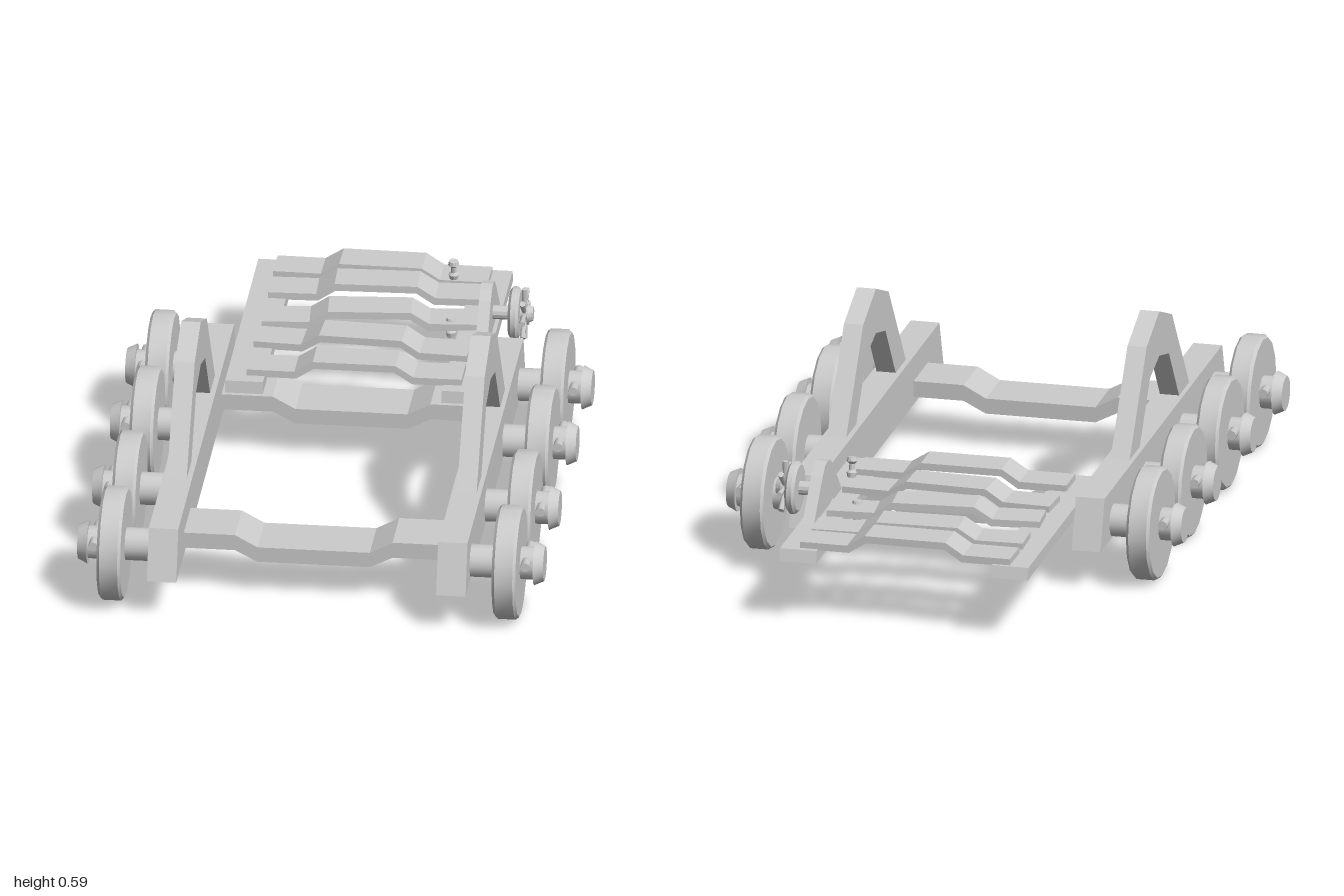
import * as THREE from 'three';
import { toCreasedNormals } from 'three/addons/utils/BufferGeometryUtils.js';

const mat = new THREE.MeshStandardMaterial({ color: 0xcccccc });

function add(parent, name, geo, x = 0, y = 0, z = 0) {
  const m = new THREE.Mesh(geo, mat);
  m.name = name;
  m.position.set(x, y, z);
  parent.add(m);
  return m;
}

// Outline in (x, y), extruded along z and centred on z = 0
function slabZ(pts, depth) {
  const s = new THREE.Shape(pts.map(([x, y]) => new THREE.Vector2(x, y)));
  return new THREE.ExtrudeGeometry(s, { depth, bevelEnabled: false }).translate(0, 0, -depth / 2);
}

// Outline in (z, y), extruded along x and centred on x = 0
function slabX(pts, width) {
  return slabZ(pts.map(([z, y]) => [-z, y]), width).rotateY(Math.PI / 2);
}

// Turned part; profile is [radius, height along axis]
function turned(profile, sides = 16) {
  const g = new THREE.LatheGeometry(profile.map(([r, h]) => new THREE.Vector2(r, h)), sides);
  return toCreasedNormals(g, 0.5);
}
const turnedX = (profile, sides) => turned(profile, sides).rotateZ(-Math.PI / 2);

// Wheel with its axle, end cap and linchpin, pointing to +x
function wheelUnit() {
  const g = new THREE.Group();
  g.name = 'wheelAssembly';
  add(g, 'wheel', turnedX([[0, 0.53], [0.155, 0.53], [0.163, 0.538], [0.163, 0.59], [0.155, 0.598], [0, 0.598]]));
  add(g, 'axle', turnedX([[0, 0.43], [0.047, 0.43], [0.047, 0.637], [0.063, 0.637], [0.05, 0.665], [0, 0.665]]));
  add(g, 'linchpin', new THREE.CylinderGeometry(0.014, 0.014, 0.155, 8).rotateX(Math.PI / 2), 0.617, 0.02, 0);
  return g;
}

export function createModel() {
  const model = new THREE.Group();
  model.name = 'cartChassis';

  const beam = slabX([[0.98, 0.12], [0.93, 0.264], [-0.46, 0.264], [-0.51, 0.12]], 0.084);
  const arch = slabX([
    [0.61, 0.24], [0.39, 0.535], [0.24, 0.593], [0.09, 0.535], [-0.13, 0.24],
    [-0.01, 0.24], [0.13, 0.43], [0.24, 0.46], [0.353, 0.43], [0.49, 0.24],
  ], 0.056);
  const rail = slabX([[-0.16, 0.19], [-0.165, 0.225], [-0.99, 0.225], [-1, 0.19]], 0.108);

  // Both sides: beam, arch, platform rail and four wheels
  for (const side of [1, -1]) {
    const name = side > 0 ? 'left' : 'right';
    add(model, name + 'Beam', beam, side * 0.413);
    add(model, name + 'Arch', arch, side * 0.414);
    add(model, name + 'PlatformRail', rail, side * 0.309);
    for (const z of [0.835, 0.46, 0.022, -0.357]) {
      const w = wheelUnit();
      w.position.set(0, 0.168, z);
      if (side < 0) w.rotation.y = Math.PI;
      model.add(w);
    }
  }

  // Dropped cross members
  const cross = slabZ([
    [-0.38, 0.143], [-0.225, 0.143], [-0.16, 0.11], [0.16, 0.11], [0.225, 0.143], [0.38, 0.143],
    [0.38, 0.19], [0.225, 0.19], [0.16, 0.155], [-0.16, 0.155], [-0.225, 0.19], [-0.38, 0.19],
  ], 0.168);
  add(model, 'frontCrossMember', cross, 0, 0, 0.708);
  add(model, 'rearCrossMember', cross, 0, 0, -0.23);

  // Raised planks, each a little askew
  const plank = slabZ([
    [-0.307, 0.222], [-0.165, 0.222], [-0.115, 0.255], [0.115, 0.255], [0.165, 0.222], [0.307, 0.222],
    [0.307, 0.243], [0.17, 0.243], [0.118, 0.276], [-0.118, 0.276], [-0.17, 0.243], [-0.307, 0.243],
  ], 0.107);
  for (const [z, turn] of [[-0.923, -0.012], [-0.793, 0.03], [-0.61, 0.075], [-0.435, -0.05], [-0.26, 0]]) {
    add(model, 'plank', plank, 0, 0, z).rotation.y = turn;
  }

  // Crank bracket on the left rail
  add(model, 'crankBracket', slabX([
    [-0.44, 0.19], [-0.44, 0.225], [-0.545, 0.335], [-0.575, 0.357], [-0.605, 0.363],
    [-0.635, 0.357], [-0.665, 0.335], [-0.77, 0.225], [-0.77, 0.19],
  ], 0.034), 0.335);

  // Spoked handwheel
  const crank = new THREE.Group();
  crank.name = 'handwheel';
  crank.position.set(0, 0.275, -0.603);
  model.add(crank);
  add(crank, 'handwheelAxle', turnedX([[0, 0.33], [0.02, 0.33], [0.02, 0.452], [0.026, 0.452], [0.02, 0.467], [0, 0.467]], 12));
  add(crank, 'handwheelDisc', turnedX([[0, 0.4], [0.066, 0.4], [0.076, 0.408], [0.076, 0.422], [0.066, 0.43], [0, 0.43]]));
  for (let i = 0; i < 8; i++) {
    const a = (i * Math.PI) / 4;
    const spoke = add(crank, 'spoke', new THREE.CylinderGeometry(0.009, 0.007, 0.06, 6),
      0.442, Math.cos(a) * 0.046, Math.sin(a) * 0.046);
    spoke.rotation.x = a;
  }

  // Bolts: one loose above the planks, one driven in
  const bolt = turned([[0, -0.029], [0.012, -0.029], [0.015, -0.015], [0.008, -0.008], [0.008, 0.01],
    [0.016, 0.018], [0.013, 0.029], [0, 0.029]], 10);
  add(model, 'looseBolt', bolt, 0.232, 0.372, -0.667).rotation.x = 0.15;
  add(model, 'drivenBolt', bolt, 0.232, 0.222, -0.603);

  return model;
}
